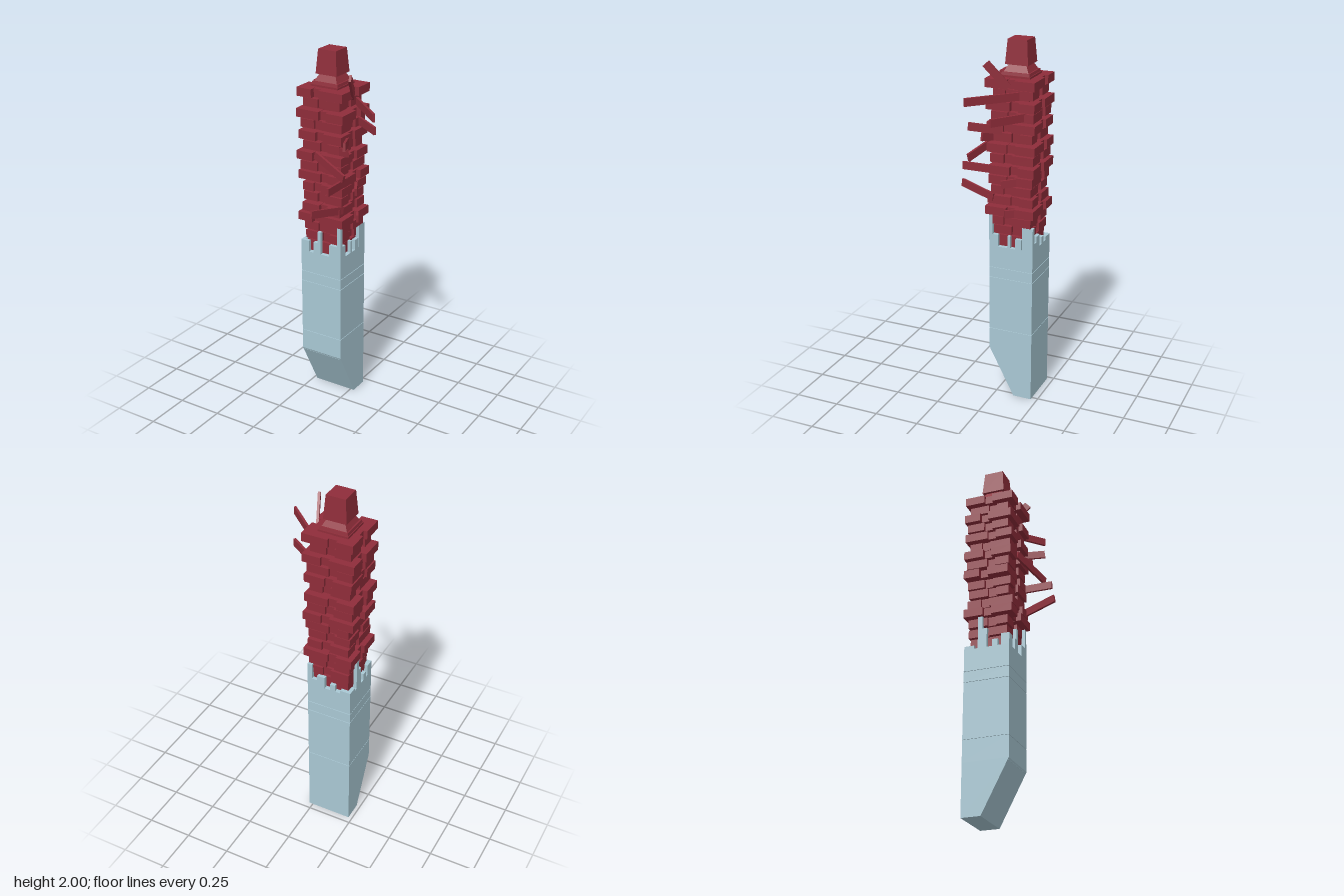
import * as THREE from 'three';

const CX = -0.104, CZ = -0.09; // tower axis
const glass = new THREE.MeshStandardMaterial({ color: 0xa9c8d4, flatShading: true });
const red = new THREE.MeshStandardMaterial({ color: 0x8f2d3a, flatShading: true });

// Box given by its limits on each axis
function block(parent, name, mat, x0, x1, y0, y1, z0, z1) {
  const m = new THREE.Mesh(new THREE.BoxGeometry(x1 - x0, y1 - y0, z1 - z0), mat);
  m.position.set((x0 + x1) / 2, (y0 + y1) / 2, (z0 + z1) / 2);
  m.name = name;
  parent.add(m);
}

// Square frustum between two heights
function frustum(parent, name, wTop, wBottom, y0, y1) {
  const g = new THREE.CylinderGeometry(wTop * Math.SQRT1_2, wBottom * Math.SQRT1_2, y1 - y0, 4);
  g.rotateY(Math.PI / 4);
  const m = new THREE.Mesh(g, red);
  m.position.set(CX, (y0 + y1) / 2, CZ);
  m.name = name;
  parent.add(m);
}

// Loose beam from a to b
function beam(parent, a, b) {
  const s = new THREE.Vector3(...a), e = new THREE.Vector3(...b);
  const m = new THREE.Mesh(new THREE.BoxGeometry(0.013, 0.042, s.distanceTo(e)), red);
  m.position.copy(s).add(e).multiplyScalar(0.5);
  m.lookAt(e);
  m.name = 'looseBeam';
  parent.add(m);
}

export function createModel() {
  const model = new THREE.Group();
  const X0 = -0.229, X1 = 0.021, Z0 = -0.215, Z1 = 0.035;

  // Glass shaft: sloped foot, then storeys parted by fine joints
  const shaft = new THREE.Group();
  shaft.name = 'glassShaft';
  model.add(shaft);
  const side = new THREE.Shape([[Z0, 0], [-0.11, 0], [Z1, 0.28], [Z0, 0.28]].map(p => new THREE.Vector2(...p)));
  const footGeo = new THREE.ExtrudeGeometry(side, { depth: X1 - X0, bevelEnabled: false });
  footGeo.rotateY(-Math.PI / 2); // shape x becomes z, depth runs to -x
  footGeo.translate(X1, 0, 0);
  const foot = new THREE.Mesh(footGeo, glass);
  foot.name = 'slopedFoot';
  shaft.add(foot);
  block(shaft, 'shaftCore', glass, X0 + 0.004, X1 - 0.004, 0.27, 0.88, Z0 + 0.004, Z1 - 0.004);
  const joints = [0.28, 0.4, 0.71, 0.77, 0.892];
  for (let i = 0; i < joints.length - 1; i++) {
    block(shaft, 'storey', glass, X0, X1, joints[i], joints[i + 1] - (i < 3 ? 0.003 : 0), Z0, Z1);
  }

  // Uneven glass columns along the rim: [start, end, top]
  const rim = {
    front: [[X0, -0.18, 0.955], [-0.15, -0.125, 0.955], [-0.125, -0.105, 1.02], [-0.05, -0.001, 0.96], [-0.001, X1, 1.07]],
    back: [[X0, -0.17, 0.91], [-0.14, -0.11, 0.93], [-0.08, -0.035, 0.96], [-0.035, -0.005, 0.93], [-0.005, X1, 1.02]],
    left: [[Z0, -0.155, 1.02], [-0.15, -0.115, 0.95], [-0.085, -0.07, 0.96], [-0.015, 0.015, 0.96], [0.015, Z1, 1.07]],
    right: [[Z0, -0.16, 0.91], [-0.14, -0.115, 1.07], [-0.115, -0.09, 1.0], [-0.06, -0.03, 0.93], [-0.01, Z1, 0.955]],
  };
  const T = 0.02;
  for (const [name, list] of Object.entries(rim)) {
    for (const [a, b, top] of list) {
      const n = name + 'RimColumn';
      if (name === 'front') block(shaft, n, glass, a, b, 0.89, top, Z1 - T, Z1);
      if (name === 'back') block(shaft, n, glass, a, b, 0.89, top, Z0, Z0 + T);
      if (name === 'left') block(shaft, n, glass, X1 - T, X1, 0.89, top, a, b);
      if (name === 'right') block(shaft, n, glass, X0, X0 + T, 0.89, top, a, b);
    }
  }

  // Red timber stack: core and stubs down into the shaft
  const stack = new THREE.Group();
  stack.name = 'timberStack';
  model.add(stack);
  block(stack, 'stackCore', red, CX - 0.082, CX + 0.082, 0.88, 1.82, CZ - 0.082, CZ + 0.082);
  block(stack, 'stackFoot', red, CX - 0.1, CX + 0.1, 0.89, 0.955, CZ - 0.1, CZ + 0.1);

  // Layers from the top down: outer limits [xMin, xMax, zMin, zMax]
  const layers = [
    [-0.235, 0.04, -0.222, 0.05], [-0.215, 0.005, -0.2, 0.02], [-0.243, 0.04, -0.222, 0.045],
    [-0.23, 0.02, -0.21, 0.025], [-0.23, 0.03, -0.222, 0.045], [-0.212, 0.01, -0.2, 0.03],
    [-0.243, 0.03, -0.222, 0.045], [-0.23, 0.02, -0.21, 0.03], [-0.243, 0.04, -0.222, 0.03],
    [-0.212, 0.03, -0.21, 0.035], [-0.215, 0.02, -0.2, 0.025], [-0.212, 0.02, -0.21, 0.045],
    [-0.235, 0.04, -0.222, 0.05], [-0.215, 0.02, -0.2, 0.02], [-0.21, 0.003, -0.2, 0.015],
  ];
  layers.forEach(([x0, x1, z0, z1], i) => {
    const layer = new THREE.Group();
    layer.name = 'timberLayer';
    stack.add(layer);
    const y1 = 1.81 - i * 0.0572, y0 = y1 - 0.046, gap = 0.023;
    block(layer, 'slab', red, Math.max(x0 + 0.016, -0.215), Math.min(x1 - 0.016, 0.015), y0 + 0.001, y1 - 0.001,
      Math.max(z0 + 0.016, -0.205), Math.min(z1 - 0.016, 0.022));
    // Corner blocks leave a notch in the middle of every side
    const dx = (i % 3 - 1) * 0.02, dz = ((i + 1) % 3 - 1) * 0.02;
    for (const [a, b] of [[x0, CX - gap + dx], [CX + gap + dx, x1]]) {
      for (const [c, d] of [[z0, CZ - gap + dz], [CZ + gap + dz, z1]]) {
        block(layer, 'cornerBlock', red, a, b, y0, y1, c, d);
      }
    }
  });

  // Beams sticking out of the stack
  const beams = new THREE.Group();
  beams.name = 'looseBeams';
  model.add(beams);
  [
    [[0.02, 1.73, -0.13], [0.237, 1.73, 0.072]],
    [[-0.02, 1.62, -0.18], [0.178, 1.62, -0.042]],
    [[0.02, 1.54, -0.04], [0.095, 1.565, 0.12]],
    [[-0.04, 1.49, 0.0], [0.075, 1.51, 0.052]],
    [[-0.13, 1.46, 0.04], [0.094, 1.395, 0.12]],
    [[0.034, 1.33, -0.03], [0.034, 1.33, 0.18]],
    [[0.01, 1.275, -0.15], [0.062, 1.26, -0.05]],
    [[0.02, 1.17, 0.01], [-0.042, 1.205, 0.219]],
    [[0.01, 1.1, -0.15], [0.062, 1.1, -0.07]],
    [[0.03, 1.77, -0.075], [0.073, 1.895, 0.028]],
  ].forEach(([a, b]) => beam(beams, a, b));

  // Stepped cap
  const cap = new THREE.Group();
  cap.name = 'cap';
  model.add(cap);
  frustum(cap, 'capBase', 0.15, 0.162, 1.805, 1.835);
  frustum(cap, 'capNeck', 0.095, 0.135, 1.835, 1.872);
  frustum(cap, 'capBlock', 0.106, 0.126, 1.872, 2);
  return model;
}
